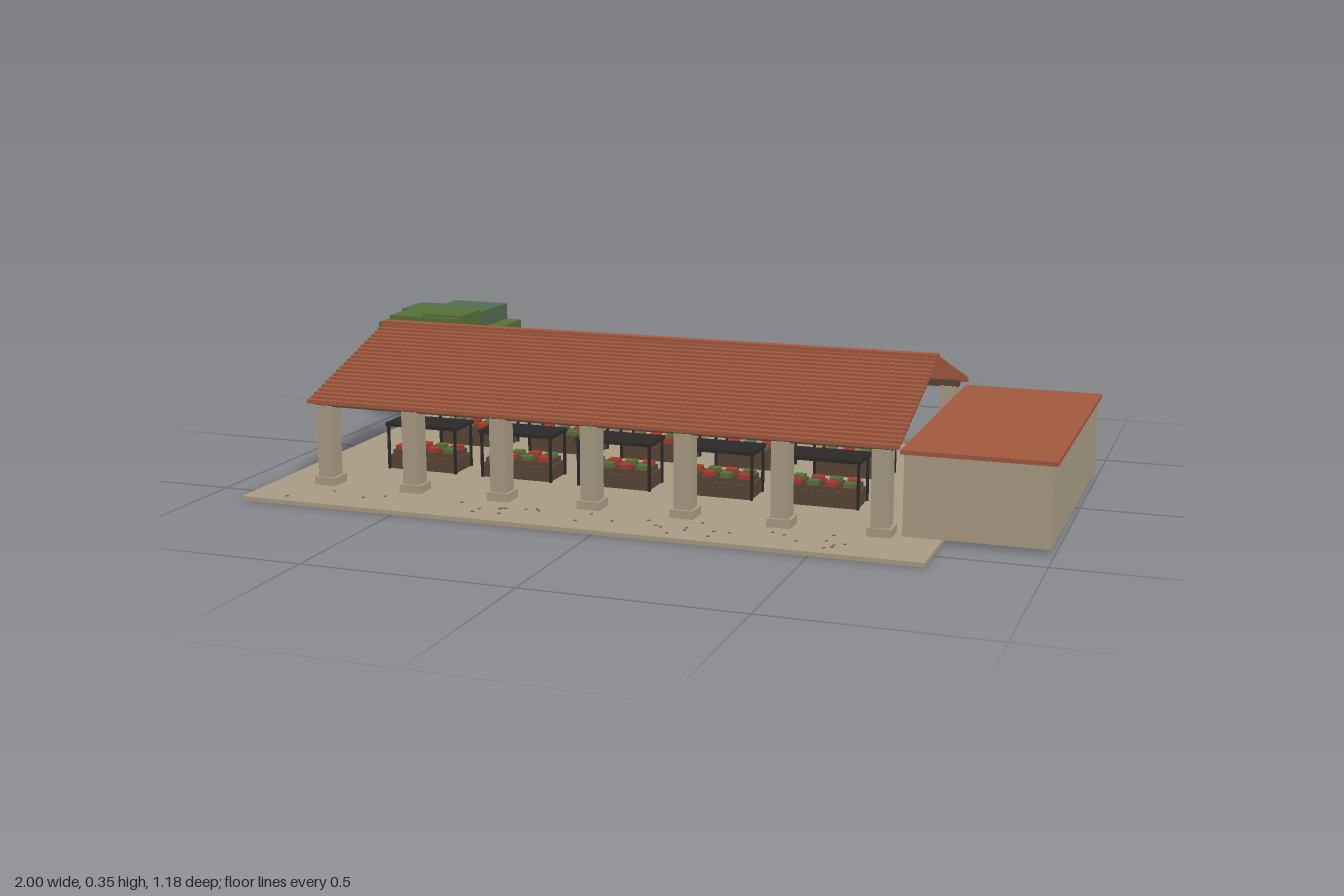
import * as THREE from 'three';

const mat = (name, color) => {
  const m = new THREE.MeshStandardMaterial({ color });
  m.name = name;
  return m;
};

const M = {
  stone: mat('stone', 0xa99c85),
  tile: mat('terracotta', 0xa3593f),
  wood: mat('dark wood', 0x5a4535),
  bark: mat('bark', 0x4d3d2e),
  iron: mat('dark iron', 0x2c2a29),
  leaf: mat('leaf green', 0x577038),
  sage: mat('sage green', 0x526b53),
  red: mat('red fruit', 0xa83a2c),
  pebble: mat('pebble', 0x6f6657),
};

// Box given by its lower and upper bounds on each axis
function span(parent, name, material, [x0, x1], [y0, y1], [z0, z1]) {
  const mesh = new THREE.Mesh(new THREE.BoxGeometry(x1 - x0, y1 - y0, z1 - z0), material);
  mesh.position.set((x0 + x1) / 2, (y0 + y1) / 2, (z0 + z1) / 2);
  mesh.name = name;
  parent.add(mesh);
  return mesh;
}

function group(parent, name) {
  const g = new THREE.Group();
  g.name = name;
  parent.add(g);
  return g;
}

const MID = 0.036; // z of the roof ridge
const GROUND = 0.01;

// Gabled roof made of overlapping stepped tile courses
function buildRoof(parent) {
  const roof = group(parent, 'mainRoof');
  const x = [-0.8, 0.66], steps = 22, run = 0.403 / steps, rise = 0.129 / steps;
  for (const s of [-1, 1]) {
    for (let i = 0; i < steps; i++) {
      const a = MID + s * run * i, b = MID + s * run * (i + 1.15);
      const y = 0.346 - rise * i;
      const outer = i === steps - 1 ? MID + s * 0.403 : b;
      span(roof, 'tileCourse', M.tile, x, [y - 0.0095, y], [Math.min(a, outer), Math.max(a, outer)]);
    }
  }
  span(roof, 'ridgeCap', M.tile, x, [0.338, 0.354], [MID - 0.013, MID + 0.013]);
}

// Square stone columns in two rows, each row carrying a beam
function buildColonnade(parent) {
  const colonnade = group(parent, 'colonnade');
  for (const s of [-1, 1]) {
    const z = MID + s * 0.368;
    for (let i = 0; i < 7; i++) {
      const x = -0.763 + i * 0.2302;
      const column = group(colonnade, 'column');
      const block = (name, r, y) => span(column, name, M.stone, [x - r, x + r], y, [z - r, z + r]);
      block('columnBase', 0.028, [GROUND, 0.03]);
      block('columnShaft', 0.021, [0.03, 0.207]);
    }
    span(colonnade, 'eaveBeam', M.wood, [-0.787, 0.642], [0.205, 0.222], [z - 0.017, z + 0.017]);
  }
}

// Market stall: counter, crates of produce, four posts and a thin canopy
function buildStall(parent, x, z, shift) {
  const stall = group(parent, 'stall');
  span(stall, 'counter', M.wood, [x - 0.09, x + 0.09], [GROUND, 0.046], [z - 0.042, z + 0.042]);
  for (let i = 0; i < 4; i++) {
    for (let j = 0; j < 2; j++) {
      const cx = x - 0.066 + i * 0.044, cz = z + (j - 0.5) * 0.042;
      span(stall, 'crate', M.wood, [cx - 0.018, cx + 0.018], [0.046, 0.058], [cz - 0.018, cz + 0.018]);
      span(stall, 'produce', (i + j + shift) % 2 ? M.red : M.leaf,
        [cx - 0.013, cx + 0.013], [0.058, 0.068], [cz - 0.013, cz + 0.013]);
    }
  }
  for (const sx of [-1, 1]) for (const sz of [-1, 1]) {
    const px = x + sx * 0.092, pz = z + sz * 0.045;
    span(stall, 'post', M.iron, [px - 0.003, px + 0.003], [GROUND, 0.121], [pz - 0.003, pz + 0.003]);
  }
  span(stall, 'canopy', M.iron, [x - 0.098, x + 0.098], [0.12, 0.129], [z - 0.05, z + 0.05]);
}

// Blocky tree beside the back corner
function buildTree(parent) {
  const tree = group(parent, 'tree');
  span(tree, 'trunk', M.bark, [-0.88, -0.84], [GROUND, 0.2], [-0.433, -0.395]);
  const foliage = [
    [M.leaf, [-0.945, -0.73], [0.185, 0.313], [-0.46, -0.262]],
    [M.leaf, [-0.85, -0.73], [0.2, 0.32], [-0.388, -0.275]],
    [M.leaf, [-0.85, -0.68], [0.157, 0.268], [-0.56, -0.31]],
    [M.leaf, [-1, -0.85], [0.15, 0.285], [-0.43, -0.3]],
    [M.sage, [-0.893, -0.728], [0.17, 0.312], [-0.57, -0.402]],
    [M.sage, [-1, -0.85], [0.152, 0.302], [-0.56, -0.44]],
    [M.sage, [-0.96, -0.79], [0.151, 0.258], [-0.59, -0.45]],
  ];
  for (const [m, x, y, z] of foliage) span(tree, 'foliage', m, x, y, z);
}

export function createModel() {
  const model = new THREE.Group();
  model.name = 'marketHall';

  span(model, 'plaza', M.stone, [-0.9, 0.755], [0, GROUND], [-0.47, 0.588]);

  // Scattered pebbles on the front paving
  let seed = 7;
  const rand = () => (seed = (seed * 16807) % 2147483647) / 2147483647;
  const pebbles = group(model, 'pebbles');
  for (let i = 0; i < 36; i++) {
    const x = -0.8 + rand() * 1.45, z = 0.44 + rand() * 0.12;
    span(pebbles, 'pebble', M.pebble, [x, x + 0.006], [GROUND, GROUND + 0.002], [z, z + 0.006]);
  }

  buildRoof(model);
  buildColonnade(model);

  const stalls = group(model, 'stalls');
  for (let i = 0; i < 5; i++) {
    for (const s of [-1, 1]) buildStall(stalls, -0.604 + i * 0.258, MID + s * 0.145, i);
  }

  // Flat-roofed side building
  const annex = group(model, 'sideBuilding');
  span(annex, 'sideWalls', M.stone, [0.665, 0.992], [GROUND, 0.198], [-0.337, 0.405]);
  span(annex, 'sideRoof', M.tile, [0.657, 1], [0.197, 0.207], [-0.345, 0.412]);

  buildTree(model);
  return model;
}
